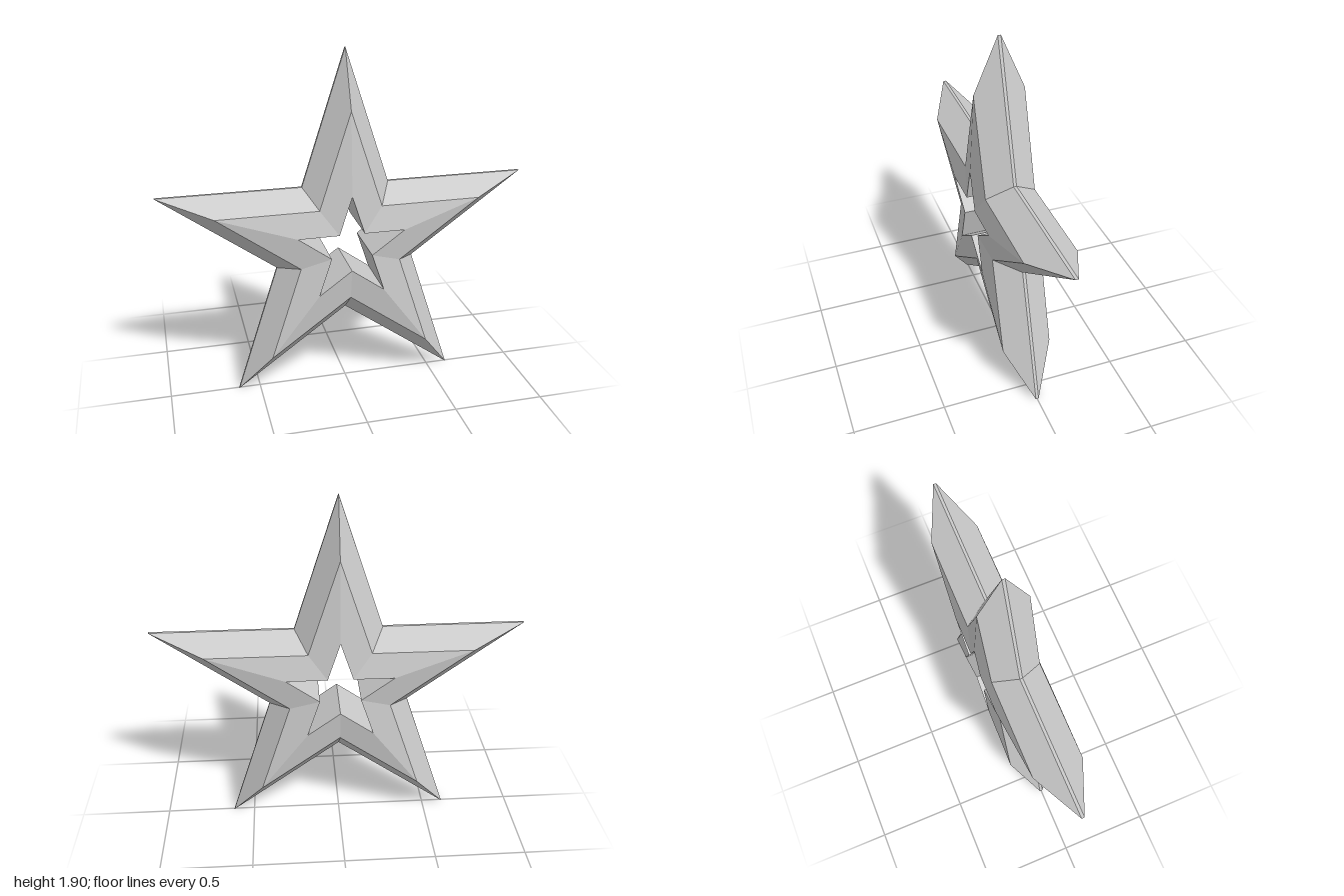
import * as THREE from 'three';

const CENTRE_Y = 0.85;

// Closed band profile: radius at the points, radius at the notches, depth
const half = [
  [0.305, 0.1165, 0.164], // edge of the star-shaped hole
  [0.75, 0.2865, 0.137],  // bevel ridge
  [1.0515, 0.4016, 0.008] // thin outer rim
];
const profile = [...half, ...half.map(([t, n, z]) => [t, n, -z]).reverse()];

// Even spokes run to the points, odd spokes to the notches
function corner(spoke, k) {
  const [tip, notch, z] = profile[k % profile.length];
  const r = spoke % 2 ? notch : tip;
  const a = Math.PI / 2 + (spoke * Math.PI) / 5;
  return [r * Math.cos(a), CENTRE_Y + r * Math.sin(a), z];
}

function starGeometry() {
  const pos = [];
  for (let i = 0; i < 10; i++) {
    for (let k = 0; k < profile.length; k++) {
      const q = [corner(i, k), corner(i, k + 1), corner(i + 1, k + 1), corner(i + 1, k)];
      // fold each face from the hole's point to the ridge's notch
      const fold = (i % 2 === 0) === (k < 3);
      const order = fold ? [0, 1, 2, 0, 2, 3] : [0, 1, 3, 1, 2, 3];
      order.forEach((n) => pos.push(...q[n]));
    }
  }
  const geo = new THREE.BufferGeometry();
  geo.setAttribute('position', new THREE.Float32BufferAttribute(pos, 3));
  geo.computeVertexNormals();
  return geo;
}

export function createModel() {
  const group = new THREE.Group();
  group.name = 'openStar';
  const star = new THREE.Mesh(
    starGeometry(),
    new THREE.MeshStandardMaterial({ color: 0xcccccc, flatShading: true })
  );
  star.name = 'bevelledStarFrame';
  group.add(star);
  return group;
}
